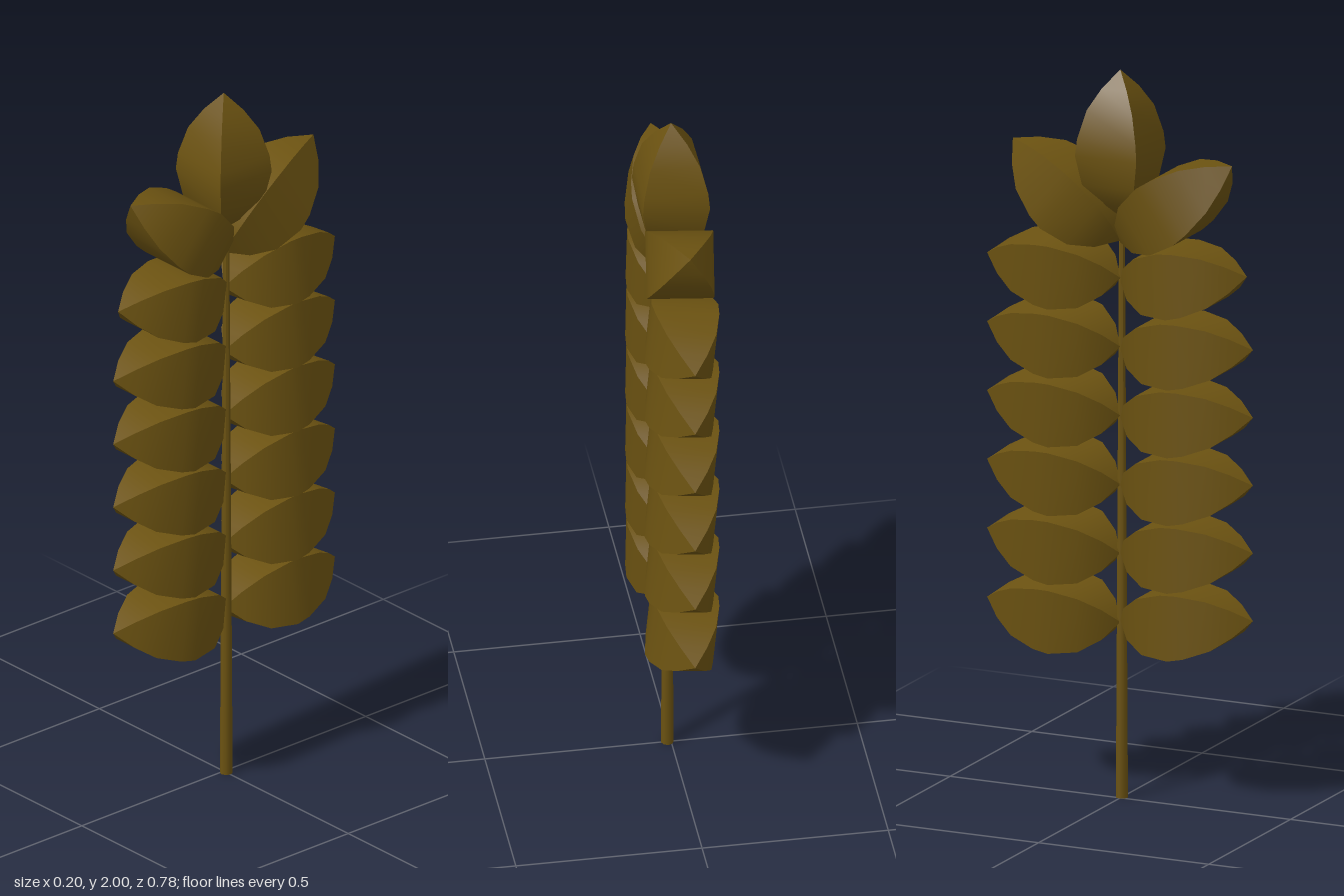
import * as THREE from 'three';
import { toCreasedNormals } from 'three/addons/utils/BufferGeometryUtils.js';

// Four-sided kernel pointing up +y, root at the origin: [half width, height]
function kernelGeometry() {
  const profile = [[0, 0], [0.043, 0.035], [0.076, 0.09], [0.09, 0.17], [0.086, 0.215], [0.067, 0.29], [0.037, 0.345], [0, 0.392]]
    .map(([w, h]) => new THREE.Vector2(w * Math.SQRT2, h));
  return toCreasedNormals(new THREE.LatheGeometry(profile, 4, Math.PI / 4), 0.9);
}

export function createModel() {
  const model = new THREE.Group();
  model.name = 'grainEar';
  const material = new THREE.MeshStandardMaterial({ color: 0x6b5211 });
  const geometry = kernelGeometry();

  // lean: angle from upright towards +z; twist: turn about the kernel's own axis
  function addKernel(name, y, lean, twist = 0, length = 1) {
    const kernel = new THREE.Mesh(geometry, material);
    kernel.name = name;
    kernel.position.y = y;
    kernel.rotation.set(lean, twist, 0);
    kernel.scale.y = length;
    model.add(kernel);
  }

  // Tapered stalk
  const stalkGeometry = toCreasedNormals(new THREE.CylinderGeometry(0.008, 0.017, 1.62, 8), 0.9);
  const stalk = new THREE.Mesh(stalkGeometry, material);
  stalk.name = 'stalk';
  stalk.position.set(0.01, 0.81, 0);
  model.add(stalk);

  // Two rows of nearly level kernels
  for (let i = 0; i < 6; i++) {
    const last = i === 5;
    addKernel('frontKernel', 0.488 + i * 0.186, Math.PI / 2 - (last ? 0.15 : 0.11), 0, last ? 0.96 : 1);
    addKernel('backKernel', 0.483 + i * 0.189, -(Math.PI / 2 - 0.06), -0.11);
  }

  // Slanting upper pair and the upright tip
  addKernel('upperFrontKernel', 1.525, 0.925, 0, 1.05);
  addKernel('upperBackKernel', 1.53, -0.91, -0.08, 1.02);
  addKernel('tipKernel', 1.6, 0, 0, 1.02);

  return model;
}
